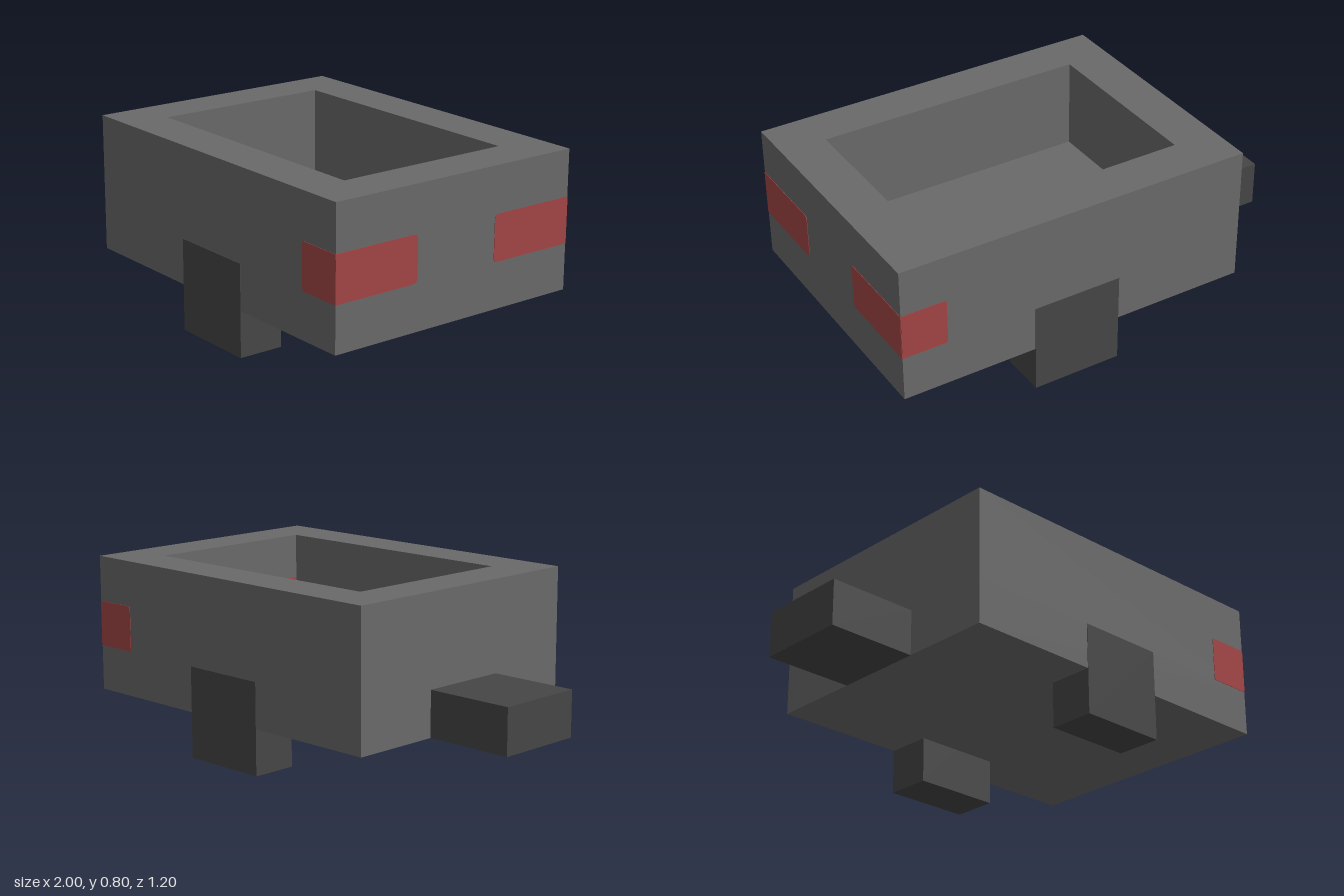
import * as THREE from 'three';

const mat = (name, color) => {
  const m = new THREE.MeshStandardMaterial({ color });
  m.name = name;
  return m;
};

export function createModel() {
  const bodyGrey = mat('body grey', 0x696969);
  const darkGrey = mat('dark grey', 0x464646);
  const lightRed = mat('light red', 0xa24545);
  const model = new THREE.Group();
  model.name = 'trailer';

  const add = (name, geometry, material, x = 0, y = 0, z = 0) => {
    const mesh = new THREE.Mesh(geometry, material);
    mesh.name = name;
    mesh.position.set(x, y, z);
    model.add(mesh);
    return mesh;
  };

  // Rectangle from (0,0) to (w,h) with its two far corners rounded
  const lightShape = (w, h, r) => {
    const s = new THREE.Shape();
    s.moveTo(0, 0);
    s.lineTo(w - r, 0);
    s.quadraticCurveTo(w, 0, w, r);
    s.lineTo(w, h - r);
    s.quadraticCurveTo(w, h, w - r, h);
    s.lineTo(0, h);
    return s;
  };
  const plate = (w, r) => new THREE.ExtrudeGeometry(lightShape(w, 0.2, r),
    { depth: 0.004, bevelEnabled: false, curveSegments: 4 }).translate(0, 0, -0.002);

  // Open cargo box: a wall frame standing on a thick floor
  const frame = new THREE.Shape([[-0.6, -0.6], [1, -0.6], [1, 0.6], [-0.6, 0.6]]
    .map(([x, y]) => new THREE.Vector2(x, y)));
  frame.holes.push(new THREE.Path([[-0.4, -0.4], [-0.4, 0.4], [0.8, 0.4], [0.8, -0.4]]
    .map(([x, y]) => new THREE.Vector2(x, y))));
  const walls = new THREE.ExtrudeGeometry(frame, { depth: 0.4, bevelEnabled: false });
  walls.rotateX(-Math.PI / 2);
  add('walls', walls, bodyGrey, 0, 0.4, 0);
  add('floor', new THREE.BoxGeometry(1.6, 0.2, 1.2), bodyGrey, 0.2, 0.3, 0);

  // Drawbar at the hitch end
  add('drawbar', new THREE.BoxGeometry(0.4, 0.2, 0.4), darkGrey, -0.8, 0.3, 0);

  for (const side of [1, -1]) {
    const name = side > 0 ? 'front' : 'back';
    // Square wheel, its outer face just proud of the wall
    add(name + 'Wheel', new THREE.BoxGeometry(0.4, 0.4, 0.202), darkGrey, 0.2, 0.2, side * 0.501);

    // Corner light: end face, side face and the inner face seen in the cargo box
    const turn = side * Math.PI / 2;
    add(name + 'EndLight', plate(0.4, 0.02), lightRed, 1, 0.4, side * 0.6).rotation.y = turn;
    add(name + 'InnerLight', plate(0.2, 0.02), lightRed, 0.8, 0.4, side * 0.4).rotation.y = turn;
    add(name + 'SideLight', plate(0.2, 0.01), lightRed, 1, 0.4, side * 0.6).rotation.y = Math.PI;
  }
  return model;
}
